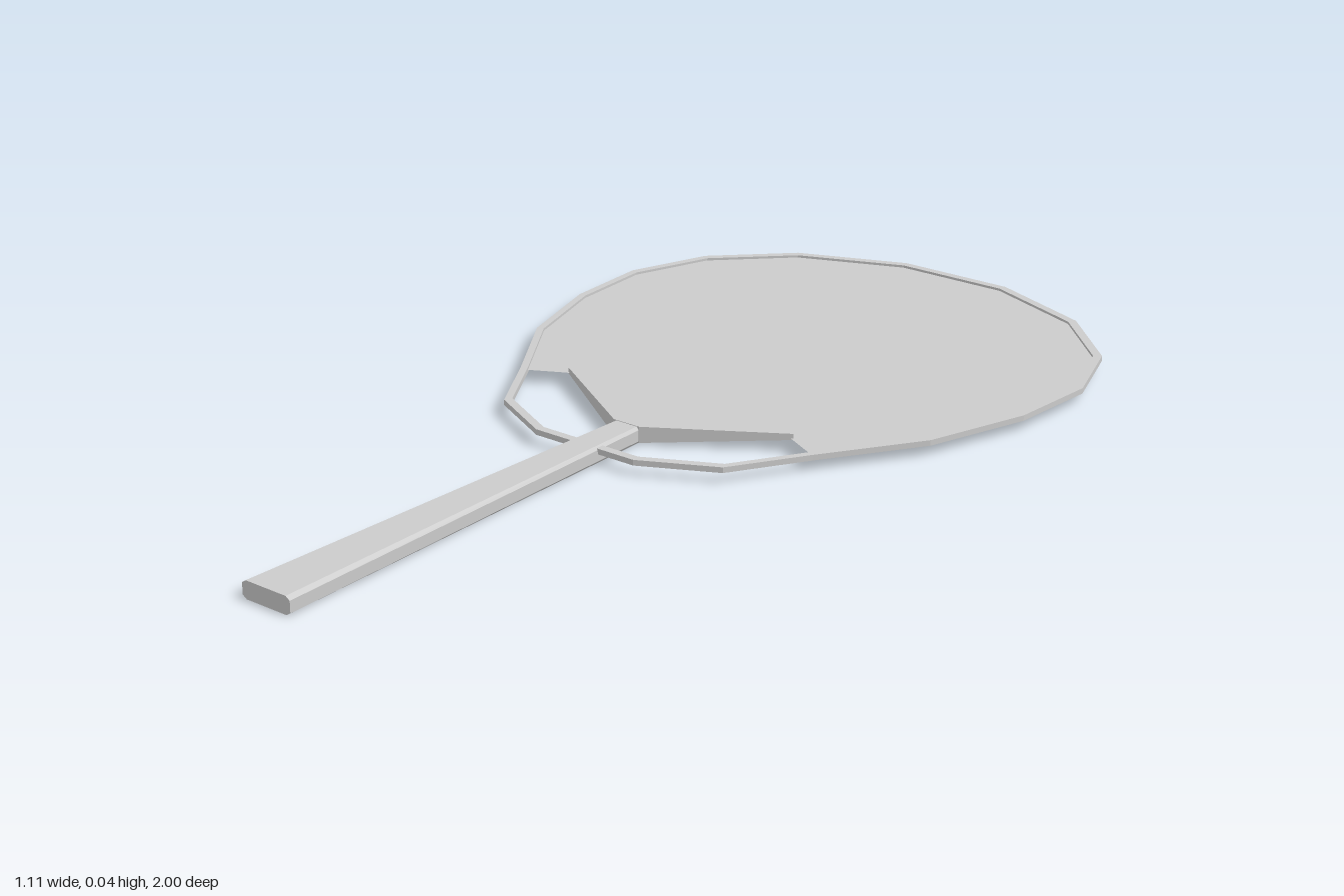
import * as THREE from 'three';

const grey = new THREE.MeshStandardMaterial({ color: 0xcccccc });
const thin = new THREE.MeshStandardMaterial({ color: 0xcccccc, side: THREE.DoubleSide });

// Half outlines are [x, z]; mirrored into a closed loop of shape points (shape y = -z)
const mirror = (half) => {
  const right = half.map(([x, z]) => new THREE.Vector2(x, -z));
  const left = half.filter(([x]) => x > 0).reverse().map(([x, z]) => new THREE.Vector2(-x, -z));
  return right.concat(left);
};

// Lay a shape flat and give it a height from y0 to y1
const slab = (shape, y0, y1) => new THREE.ExtrudeGeometry(shape, { depth: y1 - y0, bevelEnabled: false })
  .rotateX(-Math.PI / 2).translate(0, y0, 0);

export function createModel() {
  const group = new THREE.Group();
  const add = (name, geometry, material) => {
    const mesh = new THREE.Mesh(geometry, material);
    mesh.name = name;
    group.add(mesh);
  };

  // Hoop around the leaf, open below the shoulders
  const upper = [[0.35, 0], [0.475, -0.19], [0.542, -0.4], [0.555, -0.59], [0.495, -0.765],
    [0.35, -0.91], [0.125, -1]];
  const lower = [[0.115, 0.22], [0.26, 0.147]];
  const outline = mirror([...lower, ...upper]);
  const hoop = new THREE.Shape(outline);
  const cz = 0.39, k = 0.972;
  hoop.holes.push(new THREE.Path(outline.map((p) => new THREE.Vector2(p.x * k, cz + (p.y - cz) * k))));
  add('hoop', slab(hoop, 0.02, 0.031), grey);

  // Flat leaf stretched in the hoop, its lower edge tucked into the neck
  const leafHalf = [[0, -0.1], [0.2, -0.065], [0.27, -0.045],
    ...upper.map(([x, z]) => [x * 0.985, -cz + (z + cz) * 0.985])];
  const leaf = new THREE.ShapeGeometry(new THREE.Shape(mirror(leafHalf)));
  add('leaf', leaf.rotateX(-Math.PI / 2).translate(0, 0.026, 0), thin);

  // Neck: thick at the handle, thin along the arched edge
  const neck = slab(new THREE.Shape(mirror([[0.03, 0.1], [0.27, -0.05], [0.205, -0.082],
    [0.14, -0.105], [0.07, -0.12], [0, -0.13]])), 0.003, 0.035);
  const np = neck.attributes.position;
  for (let i = 0; i < np.count; i++) {
    if (np.getY(i) < 0.01 && np.getZ(i) < 0.09) np.setY(i, 0.023);
  }
  neck.computeVertexNormals();
  add('neck', neck, grey);

  // Handle: chamfered bar that widens toward its end
  const bar = new THREE.Shape([[-0.046, 0], [0.046, 0], [0.055, 0.006], [0.055, 0.028],
    [0.046, 0.034], [-0.046, 0.034], [-0.055, 0.028], [-0.055, 0.006]]
    .map(([x, y]) => new THREE.Vector2(x, y)));
  const handle = new THREE.ExtrudeGeometry(bar, { depth: 0.91, bevelEnabled: false }).translate(0, 0, 0.09);
  const hp = handle.attributes.position;
  for (let i = 0; i < hp.count; i++) {
    hp.setX(i, hp.getX(i) * THREE.MathUtils.mapLinear(hp.getZ(i), 0.09, 1, 0.52, 1));
  }
  handle.computeVertexNormals();
  add('handle', handle, grey);

  return group;
}
